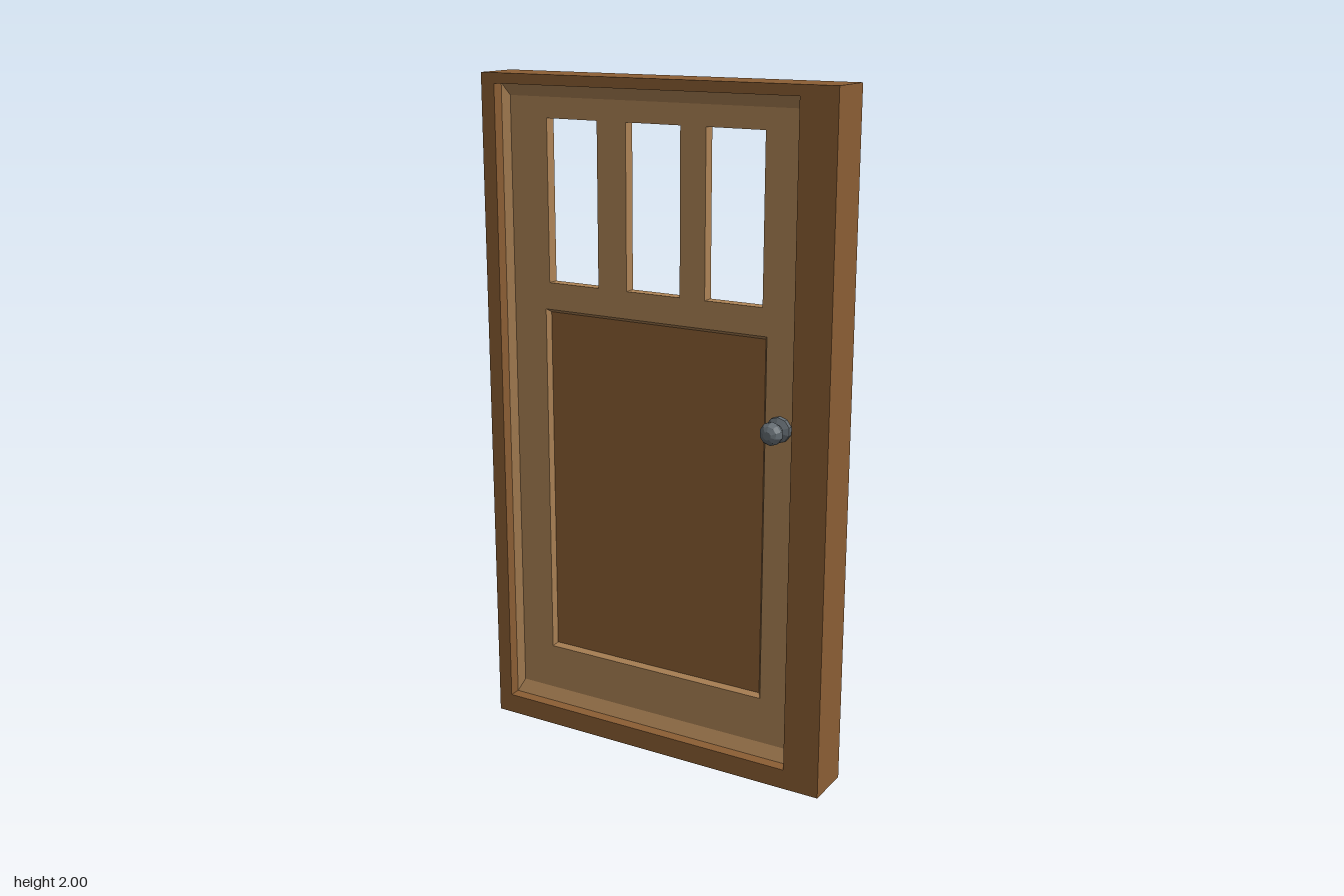
import * as THREE from 'three';

// Rectangles are [left, bottom, right, top]
const OUTER = [-0.56, 0, 0.56, 2];
const OPENING = [-0.515, 0.06, 0.45, 1.97];
const FIELD = [-0.495, 0.1, 0.43, 1.935];
const RECESS = [-0.385, 0.24, 0.345, 1.32];
const PANEL = [-0.375, 0.25, 0.335, 1.31];
const WINDOWS = [[-0.37, -0.2], [-0.105, 0.07], [0.15, 0.33]].map(([a, b]) => [a, 1.4, b, 1.875]);

const corners = ([l, b, r, t]) => [[l, b], [r, b], [r, t], [l, t]];

// Flat board with rectangular holes, between two depths
function board(rect, holes, zBack, zFront) {
  const points = (r) => corners(r).map(([x, y]) => new THREE.Vector2(x, y));
  const shape = new THREE.Shape(points(rect));
  shape.holes = holes.map((h) => new THREE.Path(points(h).reverse()));
  const geo = new THREE.ExtrudeGeometry(shape, { depth: zFront - zBack, bevelEnabled: false });
  return geo.translate(0, 0, zBack);
}

// Four mitred sloping strips from an outer to an inner rectangle
function moulding(outer, zOuter, inner, zInner, facesBack = false) {
  const o = corners(outer).map(([x, y]) => [x, y, zOuter]);
  const n = corners(inner).map(([x, y]) => [x, y, zInner]);
  const positions = [];
  for (let i = 0; i < 4; i++) {
    const j = (i + 1) % 4;
    const quad = [o[i], o[j], n[j], o[i], n[j], n[i]];
    if (facesBack) quad.reverse();
    positions.push(...quad.flat());
  }
  const geo = new THREE.BufferGeometry();
  geo.setAttribute('position', new THREE.Float32BufferAttribute(positions, 3));
  geo.computeVertexNormals();
  return geo;
}

export function createModel() {
  const material = (name, color, flatShading = false) => {
    const m = new THREE.MeshStandardMaterial({ color, flatShading });
    m.name = name;
    return m;
  };
  const darkWood = material('darkWood', 0x8b5e34);
  const lightWood = material('lightWood', 0xae8456);
  const metal = material('metal', 0x626a70, true);

  const model = new THREE.Group();
  model.name = 'door';
  const add = (name, geo, mat) => {
    const mesh = new THREE.Mesh(geo, mat);
    mesh.name = name;
    model.add(mesh);
    return mesh;
  };

  // Surrounding frame, wider on the knob side
  add('frame', board(OUTER, [OPENING], -0.09, 0.055), darkWood);

  // Door leaf: the front layer is also cut for the recessed panel
  add('leafBack', board(OPENING, WINDOWS, -0.03, -0.01), lightWood);
  add('leafFront', board(OPENING, [...WINDOWS, RECESS], -0.01, 0.005), lightWood);

  // Sloping mouldings around the leaf on both sides
  add('frontMoulding', moulding(OPENING, 0.02, FIELD, 0.005), lightWood);
  add('backMoulding', moulding(OPENING, -0.045, FIELD, -0.03, true), lightWood);

  // Recessed lower panel with its bevelled rim
  add('panelRim', moulding(RECESS, 0.005, PANEL, -0.009), lightWood);
  const [l, b, r, t] = PANEL;
  const panel = add('lowerPanel', new THREE.PlaneGeometry(r - l, t - b), darkWood);
  panel.position.set((l + r) / 2, (b + t) / 2, -0.009);

  // Knob: round backplate, neck and blunt ball turned in one profile
  const profile = [
    [0.037, 0], [0.037, 0.014], [0.02, 0.022], [0.02, 0.034], [0.033, 0.047],
    [0.033, 0.058], [0.025, 0.072], [0.012, 0.079], [0, 0.079],
  ].map(([x, y]) => new THREE.Vector2(x, y));
  const knob = add('knob', new THREE.LatheGeometry(profile, 10).rotateX(Math.PI / 2), metal);
  knob.position.set(0.39, 1.065, 0.005);

  return model;
}
